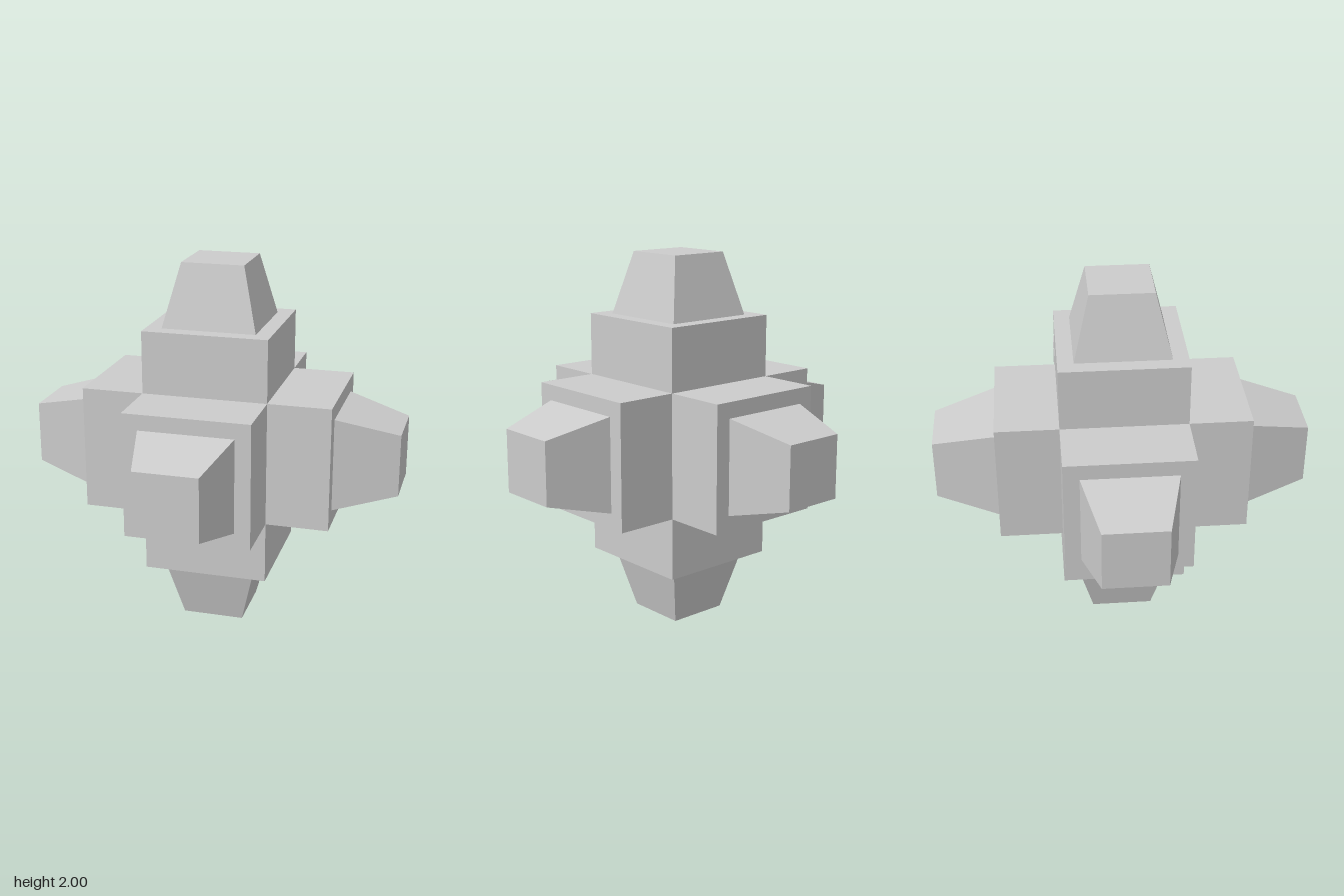
import * as THREE from 'three';

// Square stepped arm along +y: block, inset shoulder, tapered tip
function armGeometry() {
  const profile = [
    [1 / 3, 1 / 3], [1 / 3, 2 / 3], // block side
    [0.25, 2 / 3],                  // shoulder
    [1 / 6, 1],                     // tapered side
    [0, 1],                         // end face
  ].map(([half, y]) => new THREE.Vector2(half * Math.SQRT2, y));
  const geometry = new THREE.LatheGeometry(profile, 4, Math.PI / 4).toNonIndexed();
  geometry.computeVertexNormals();
  return geometry;
}

export function createModel() {
  const model = new THREE.Group();
  model.name = 'sixArmedBlock';
  const material = new THREE.MeshStandardMaterial({ color: 0xcccccc, flatShading: true });
  const geometry = armGeometry();
  const q = Math.PI / 2;

  // The six arms meet edge to edge around the central cube
  const arms = {
    topArm: [0, 0, 0],
    bottomArm: [2 * q, 0, 0],
    frontArm: [q, 0, 0],
    backArm: [-q, 0, 0],
    leftArm: [0, 0, -q],
    rightArm: [0, 0, q],
  };
  for (const [name, rotation] of Object.entries(arms)) {
    const arm = new THREE.Mesh(geometry, material);
    arm.name = name;
    arm.rotation.set(...rotation);
    arm.position.y = 1;
    model.add(arm);
  }
  return model;
}
